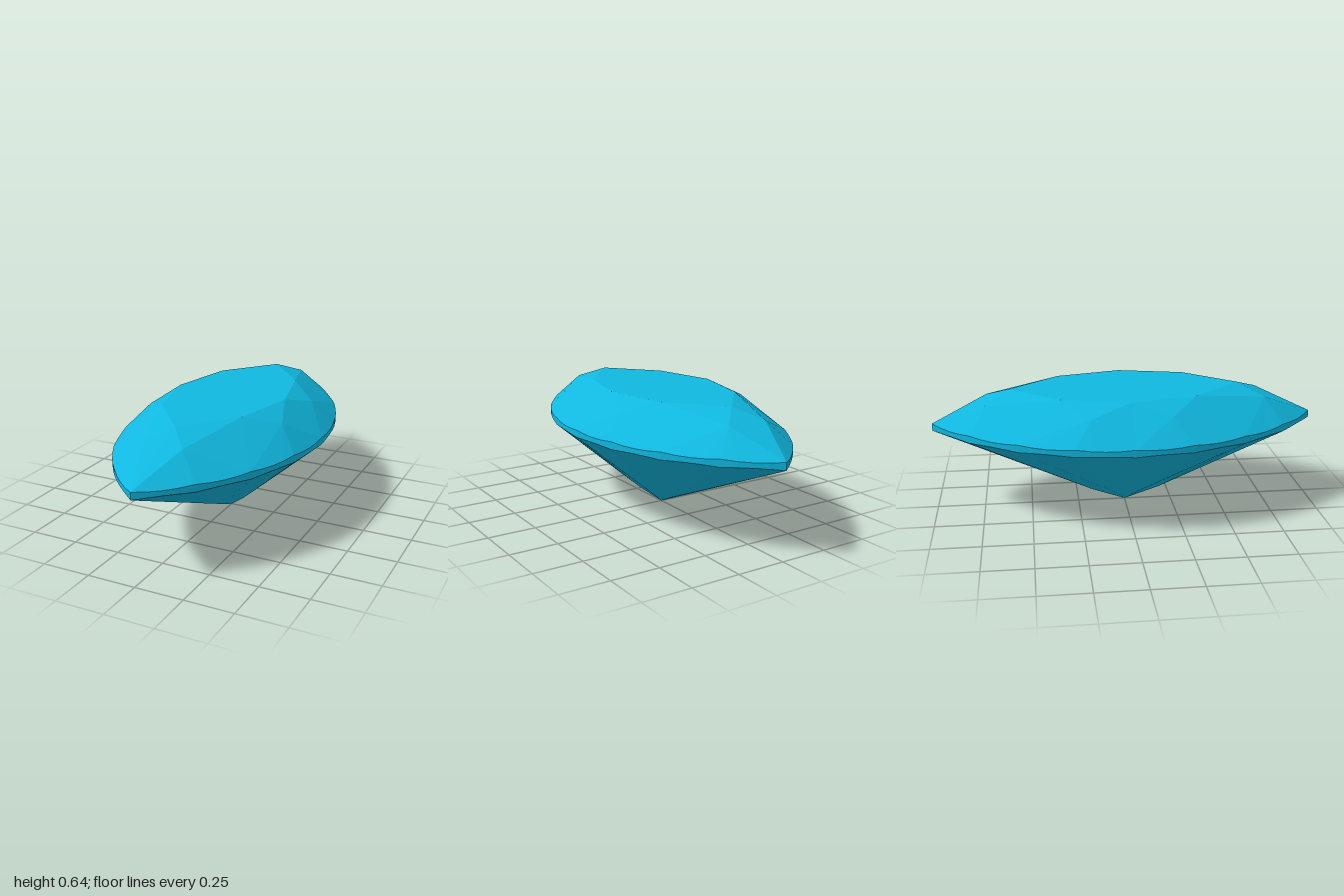
import * as THREE from 'three';

const R = 1.2425;               // radius of each side arc of the pointed oval
const SPAN = Math.asin(1 / R);  // arc angle from widest point to tip
const STEPS = 4;                // girdle segments per facet
const N = STEPS * 4;            // girdle segments per quarter

// Girdle point i (0 = widest, N = tip) with scalloped height
function girdlePoint(i, top) {
  const a = (SPAN * i) / N;
  const wave = Math.sin((Math.PI * (i % STEPS)) / STEPS);
  const x = i === N ? 0 : R * Math.cos(a) - (R - 0.505);
  return [x, top ? 0.468 - 0.007 * wave : 0.43 + 0.006 * wave, R * Math.sin(a)];
}

// Mirror quarter triangles into all four quarters, facing outward
function facetMesh(name, tris, material) {
  const centre = new THREE.Vector3(0, 0.45, 0);
  const pos = [];
  for (const sx of [1, -1]) for (const sz of [1, -1]) for (const tri of tris) {
    const p = tri.map(([x, y, z]) => new THREE.Vector3(x * sx, y, z * sz));
    const normal = p[1].clone().sub(p[0]).cross(p[2].clone().sub(p[0]));
    if (normal.dot(p[0].clone().sub(centre)) < 0) p.reverse();
    for (const v of p) pos.push(v.x, v.y, v.z);
  }
  const geo = new THREE.BufferGeometry();
  geo.setAttribute('position', new THREE.Float32BufferAttribute(pos, 3));
  geo.computeVertexNormals();
  const mesh = new THREE.Mesh(geo, material);
  mesh.name = name;
  return mesh;
}

export function createModel() {
  const gem = new THREE.Group();
  gem.name = 'marquiseGem';
  const material = new THREE.MeshStandardMaterial({ color: 0x10b8e0, flatShading: true });

  const up = [], low = [];
  for (let i = 0; i <= N; i++) {
    up.push(girdlePoint(i, true));
    low.push(girdlePoint(i, false));
  }
  // Triangles from an apex to a stretch of the girdle
  const fan = (apex, ring, from, to) => {
    const out = [];
    for (let i = from; i < to; i++) out.push([apex, ring[i], ring[i + 1]]);
    return out;
  };

  // Flat table on top
  const tableSide = [0.3, 0.64, 0], tableMid = [0.22, 0.64, 0.34], tableTip = [0, 0.64, 0.6];
  const tableCentre = [0, 0.64, 0];
  gem.add(facetMesh('table', [
    [tableCentre, tableSide, tableMid],
    [tableCentre, tableMid, tableTip],
  ], material));

  // Crown: star triangles, kites and upper girdle facets
  const starSide = [0.37, 0.584, 0.2], starTip = [0.105, 0.587, 0.72];
  gem.add(facetMesh('crown', [
    [tableSide, tableMid, starSide],
    [tableMid, tableTip, starTip],
    [tableSide, starSide, up[0]],
    [tableMid, starSide, up[N / 2]],
    [tableMid, starTip, up[N / 2]],
    [tableTip, starTip, up[N]],
    ...fan(starSide, up, 0, N / 2),
    ...fan(starTip, up, N / 2, N),
  ], material));

  // Thin girdle band
  const band = [];
  for (let i = 0; i < N; i++) {
    band.push([up[i], low[i], low[i + 1]], [up[i], low[i + 1], up[i + 1]]);
  }
  gem.add(facetMesh('girdle', band, material));

  // Pavilion: long facets running down to the point
  const culet = [0, 0, 0];
  const lowerSide = [0.103, 0.082, 0.06], lowerTip = [0.044, 0.08, 0.178];
  gem.add(facetMesh('pavilion', [
    [culet, lowerSide, low[0]],
    [culet, lowerSide, low[N / 2]],
    [culet, lowerTip, low[N / 2]],
    [culet, lowerTip, low[N]],
    ...fan(lowerSide, low, 0, N / 2),
    ...fan(lowerTip, low, N / 2, N),
  ], material));

  return gem;
}
